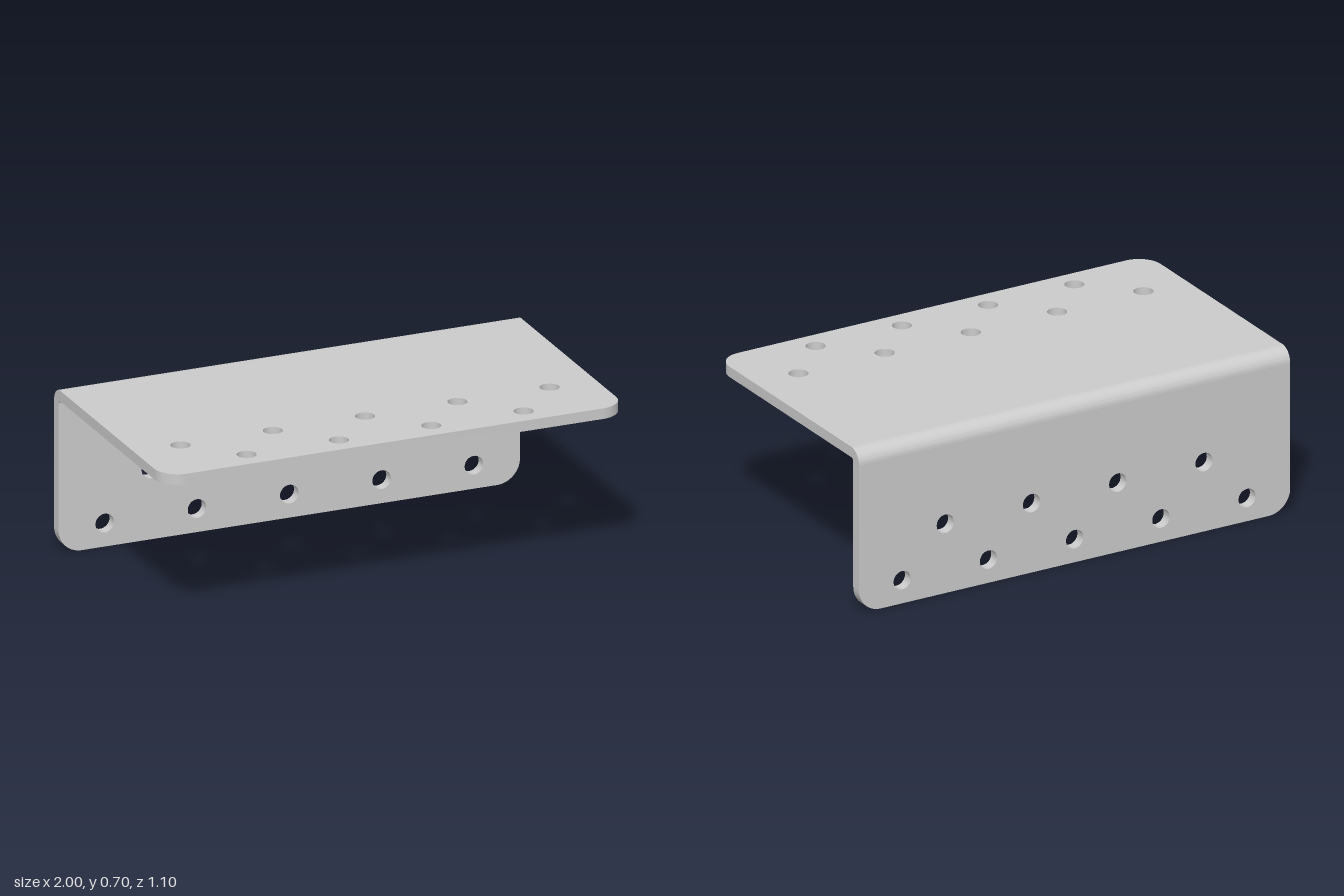
import * as THREE from 'three';
import { toCreasedNormals } from 'three/addons/utils/BufferGeometryUtils.js';

const HALF = 1;          // half width
const HEIGHT = 0.7;
const DEPTH = 0.55;      // half depth
const T = 0.045;         // sheet thickness
const R_OUT = 0.06;      // outer bend radius
const CORNER = 0.1;      // rounded free corners
const HOLE = 0.04;       // hole radius

const FIVE = [-0.8, -0.4, 0, 0.4, 0.8];
const FOUR = [-0.6, -0.2, 0.2, 0.6];

const material = new THREE.MeshStandardMaterial({ color: 0xcccccc });

function extrude(shape, depth) {
  const geometry = new THREE.ExtrudeGeometry(shape, { depth, bevelEnabled: false, curveSegments: 16 });
  return toCreasedNormals(geometry, 0.5);
}

// Flat leg with its free, rounded edge at y = 0 and two staggered rows of holes
function makeFlange(name, length, outerRow, innerRow) {
  const shape = new THREE.Shape();
  shape.moveTo(-HALF, length);
  shape.lineTo(-HALF, CORNER);
  shape.absarc(-HALF + CORNER, CORNER, CORNER, Math.PI, Math.PI * 1.5, false);
  shape.absarc(HALF - CORNER, CORNER, CORNER, Math.PI * 1.5, Math.PI * 2, false);
  shape.lineTo(HALF, length);
  shape.closePath();

  const addRow = (xs, y) => xs.forEach((x) => {
    const hole = new THREE.Path();
    hole.absarc(x, y, HOLE, 0, Math.PI * 2, true);
    shape.holes.push(hole);
  });
  addRow(outerRow, 0.1);
  addRow(innerRow, 0.3);

  const mesh = new THREE.Mesh(extrude(shape, T), material);
  mesh.name = name;
  return mesh;
}

// Quarter-round strip joining the two legs
function makeBend() {
  const shape = new THREE.Shape();
  shape.absarc(0, 0, R_OUT, Math.PI / 2, Math.PI, false);
  shape.absarc(0, 0, R_OUT - T, Math.PI, Math.PI / 2, true);
  shape.closePath();
  const geometry = extrude(shape, HALF * 2);
  geometry.translate(0, 0, -HALF);
  geometry.rotateY(-Math.PI / 2);
  const mesh = new THREE.Mesh(geometry, material);
  mesh.name = 'bend';
  mesh.position.set(0, HEIGHT - R_OUT, -DEPTH + R_OUT);
  return mesh;
}

export function createModel() {
  const bracket = new THREE.Group();
  bracket.name = 'angleBracket';

  const backFlange = makeFlange('backFlange', HEIGHT - R_OUT, FIVE, FOUR);
  backFlange.position.z = -DEPTH;

  const topFlange = makeFlange('topFlange', DEPTH * 2 - R_OUT, FOUR, FIVE);
  topFlange.rotation.x = -Math.PI / 2;
  topFlange.position.set(0, HEIGHT - T, DEPTH);

  bracket.add(backFlange, topFlange, makeBend());
  return bracket;
}
